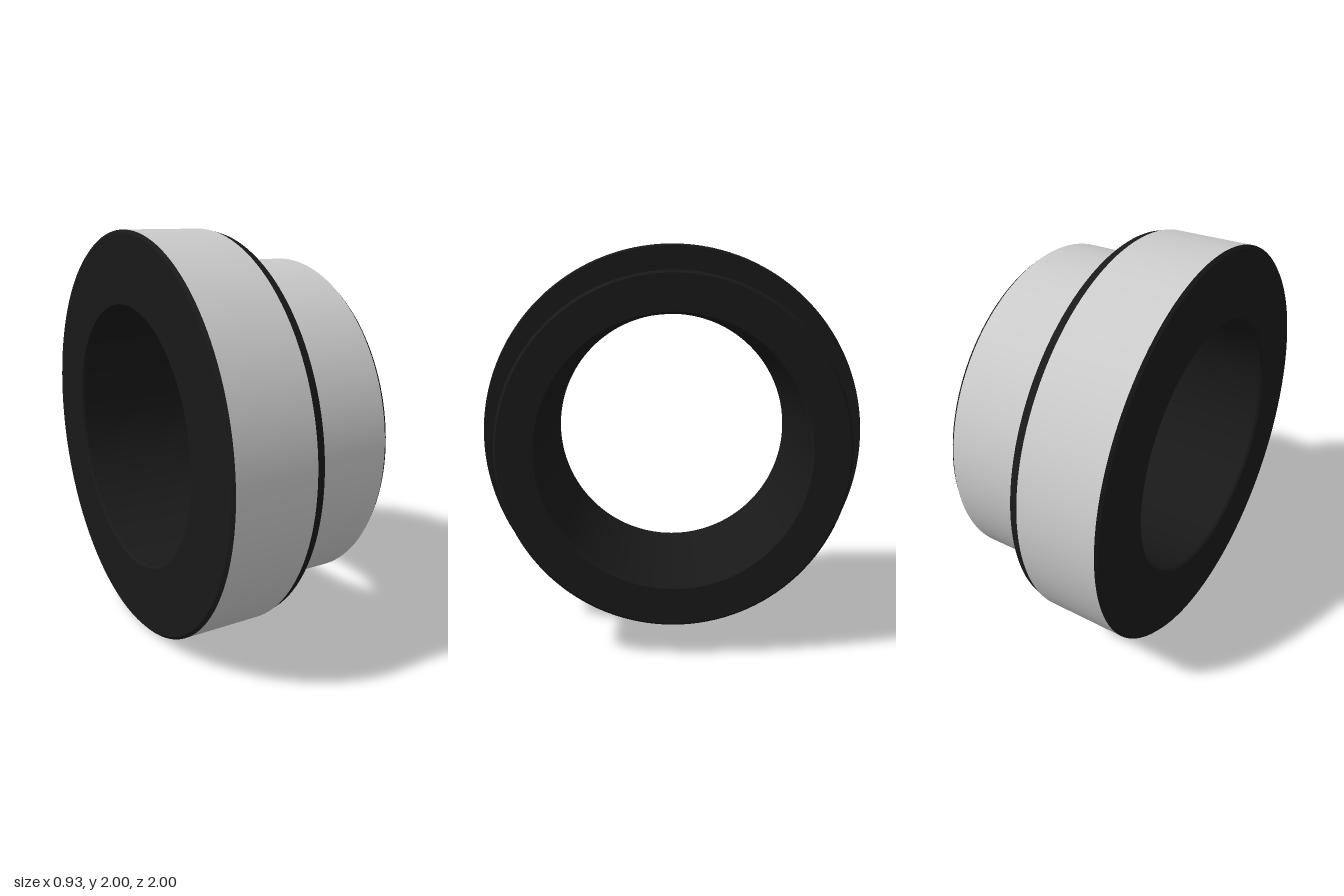
import * as THREE from 'three';
import { mergeGeometries } from 'three/addons/utils/BufferGeometryUtils.js';

const grey = new THREE.MeshStandardMaterial({ color: 0xcccccc });
const dark = new THREE.MeshStandardMaterial({ color: 0x191919 });

// Turns a profile of [radius, x] points about the x axis, keeping its corners sharp.
function turned(name, profile, material) {
  const strips = profile.slice(1).map((end, i) => new THREE.LatheGeometry(
    [new THREE.Vector2(...profile[i]), new THREE.Vector2(...end)], 128));
  const geometry = mergeGeometries(strips);
  geometry.rotateZ(-Math.PI / 2);
  geometry.translate(0, 1, 0);
  const mesh = new THREE.Mesh(geometry, material);
  mesh.name = name;
  return mesh;
}

export function createModel() {
  const group = new THREE.Group();
  group.name = 'flangedBushing';
  group.add(
    // Wide end face with chamfered bore and rim
    turned('flangeEndFace', [[0.645, -0.45], [0.655, -0.463], [0.985, -0.463], [1, -0.45]], dark),
    turned('flangeBand', [[1, -0.45], [1, -0.055]], grey),
    // Chamfer, shoulder and relief groove between the bands
    turned('shoulderGroove', [
      [1, -0.055], [0.988, -0.012], [0.842, -0.012], [0.836, 0],
      [0.833, 0.02], [0.833, 0.068], [0.842, 0.078],
    ], dark),
    turned('collarBand', [[0.842, 0.078], [0.842, 0.445]], grey),
    // Narrow end face
    turned('collarEndFace', [[0.842, 0.445], [0.828, 0.463], [0.655, 0.463], [0.645, 0.45]], dark),
    turned('bore', [[0.645, 0.45], [0.645, -0.45]], dark),
  );
  return group;
}
